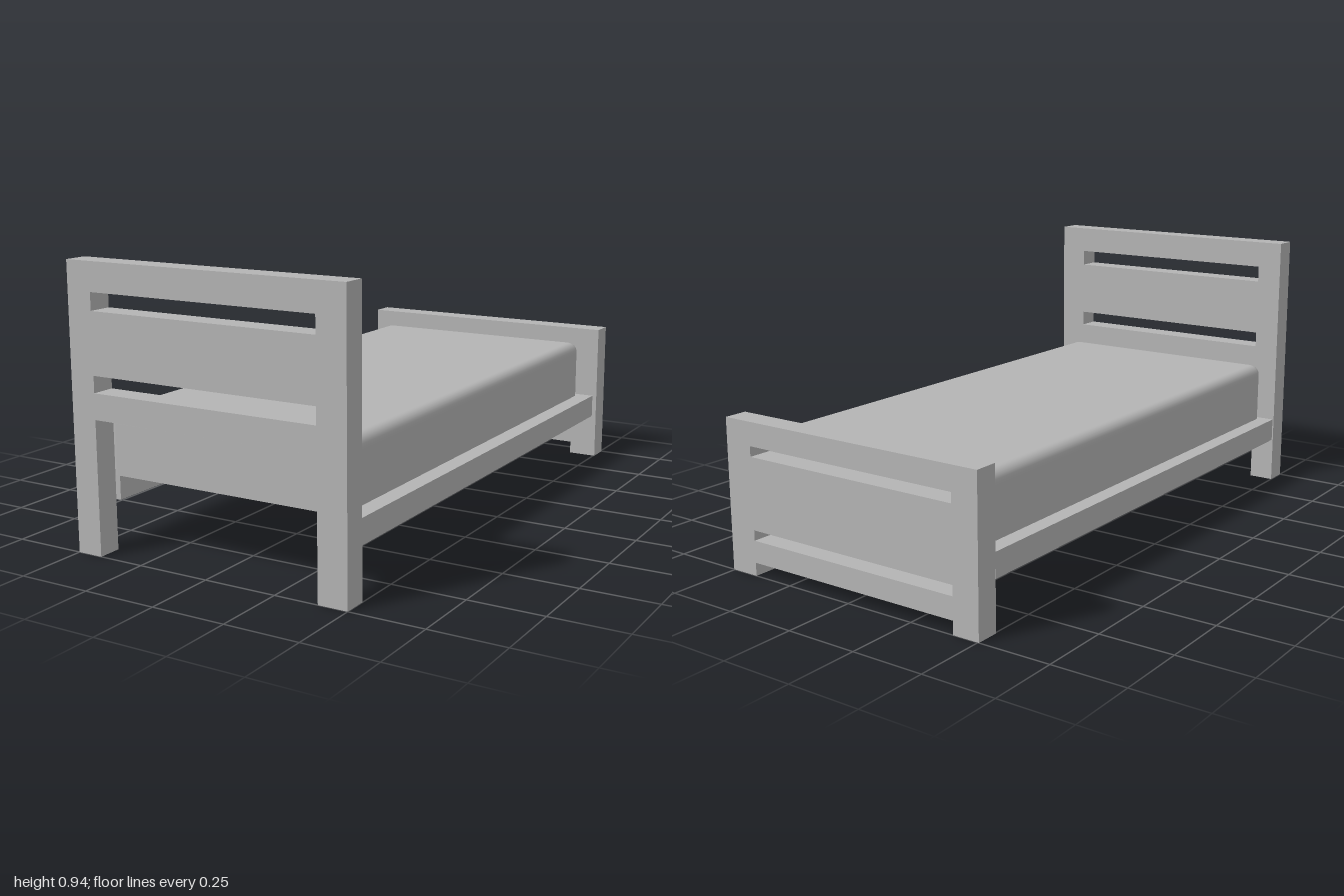
import * as THREE from 'three';

const grey = new THREE.MeshStandardMaterial({ color: 0xb4b4b4, side: THREE.DoubleSide });
grey.name = 'plain grey';

// Box given by its limits on each axis
function box(name, [x0, x1], [y0, y1], [z0, z1], openBottom = false) {
  const g = new THREE.BoxGeometry(x1 - x0, y1 - y0, z1 - z0);
  if (openBottom) {
    const index = Array.from(g.index.array);
    index.splice(18, 6); // the face pointing down
    g.setIndex(index);
    g.clearGroups();
  }
  g.translate((x0 + x1) / 2, (y0 + y1) / 2, (z0 + z1) / 2);
  const mesh = new THREE.Mesh(g, grey);
  mesh.name = name;
  return mesh;
}

// End board: two hollow legs with horizontal boards between them
function endBoard(name, halfWidth, height, z, boards) {
  const group = new THREE.Group();
  group.name = name;
  group.add(box(name + 'RightLeg', [-halfWidth, -0.41], [0, height], z, true));
  group.add(box(name + 'LeftLeg', [0.4, halfWidth], [0, height], z, true));
  boards.forEach((y, i) => group.add(box(name + 'Board' + (i + 1), [-0.41, 0.4], y, z)));
  return group;
}

// Mattress shell: rounded rectangles stacked upwards, open underneath
function mattress([x0, x1], [y0, y1], [z0, z1]) {
  const cx = (x0 + x1) / 2, cz = (z0 + z1) / 2, hx = (x1 - x0) / 2, hz = (z1 - z0) / 2;
  const corner = 0.045, round = 0.035, steps = 6;
  const rings = [[0, y0], [0, y0 + 0.01], [0, y1 - round - 0.01]];
  for (let i = 0; i <= steps; i++) {
    const a = (i / steps) * Math.PI / 2;
    rings.push([round * (1 - Math.cos(a)), y1 - round + round * Math.sin(a)]);
  }
  rings.push([round + 0.008, y1]);
  const pos = [], index = [], n = 4 * (steps + 1);
  for (const [inset, y] of rings) {
    const r = Math.max(corner - inset, 0.002);
    for (let q = 0; q < 4; q++) {
      const sx = q === 0 || q === 3 ? 1 : -1, sz = q < 2 ? -1 : 1;
      for (let i = 0; i <= steps; i++) {
        const a = (q + i / steps) * Math.PI / 2;
        pos.push(cx + sx * (hx - inset - r) + r * Math.cos(a), y,
          cz + sz * (hz - inset - r) - r * Math.sin(a));
      }
    }
  }
  for (let k = 0; k < rings.length - 1; k++) {
    for (let i = 0; i < n; i++) {
      const a = k * n + i, b = k * n + (i + 1) % n;
      index.push(a, b, b + n, a, b + n, a + n);
    }
  }
  // Flat top
  const last = (rings.length - 1) * n, centre = pos.length / 3;
  pos.push(cx, y1, cz);
  for (let i = 0; i < n; i++) index.push(last + i, last + (i + 1) % n, centre);
  const g = new THREE.BufferGeometry();
  g.setAttribute('position', new THREE.Float32BufferAttribute(pos, 3));
  g.setIndex(index);
  g.computeVertexNormals();
  const mesh = new THREE.Mesh(g, grey);
  mesh.name = 'mattress';
  return mesh;
}

export function createModel() {
  const bed = new THREE.Group();
  bed.name = 'bed';

  bed.add(endBoard('headboard', 0.5, 0.94, [0.918, 1],
    [[0.445, 0.53], [0.585, 0.787], [0.845, 0.94]]));
  bed.add(endBoard('footboard', 0.504, 0.515, [-1, -0.918],
    [[0.045, 0.12], [0.155, 0.4], [0.435, 0.515]]));

  // Side rails
  bed.add(box('rightRail', [-0.5, -0.4], [0.165, 0.248], [-0.912, 0.908]));
  bed.add(box('leftRail', [0.39, 0.49], [0.165, 0.248], [-0.912, 0.908]));

  // Cross slats between the rails
  [-0.755, -0.19, 0.39].forEach((z, i) =>
    bed.add(box('slat' + (i + 1), [-0.4, 0.39], [0.165, 0.248], [z - 0.044, z + 0.044])));

  bed.add(mattress([-0.445, 0.43], [0.248, 0.46], [-0.915, 0.917]));
  return bed;
}
